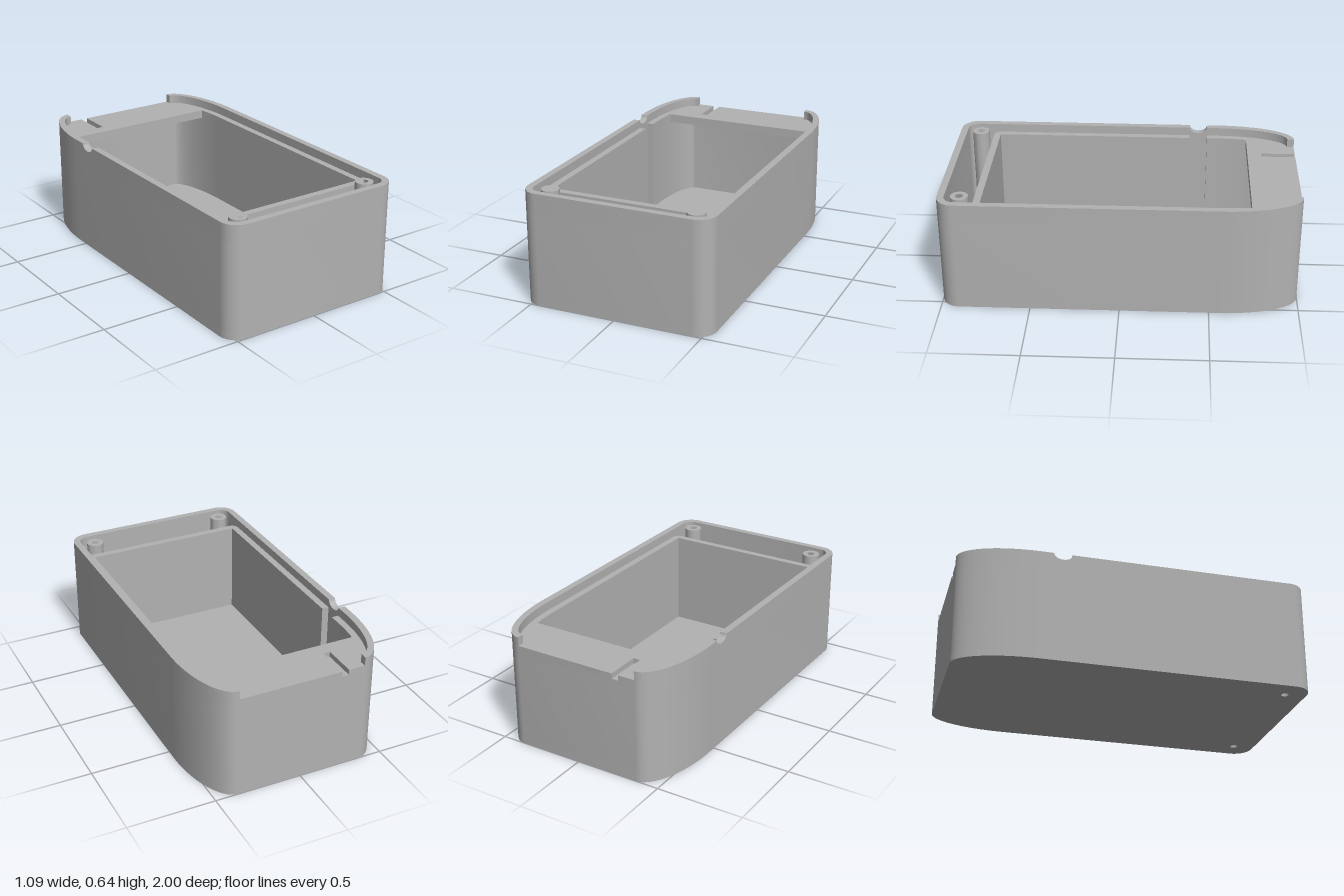
import * as THREE from 'three';
import { toCreasedNormals } from 'three/addons/utils/BufferGeometryUtils.js';

// Heights of the stacked layers
const FLOOR = 0.04, SHELF = 0.545, GROOVE = 0.565, LEDGE = 0.595, TOP = 0.645;
const SHELF_Z = -0.72;             // front edge of the rear shelf
const GAP = [-0.485, -0.38];       // cable gap in the right wall
const SCREW_X = 0.42, SCREW_Z = 0.88;

// Points are [x, z]
const arc = (cx, cz, rx, rz, a0, a1, n) => Array.from({ length: n + 1 }, (_, i) => {
  const a = a0 + (a1 - a0) * i / n;
  return [cx + rx * Math.cos(a), cz + rz * Math.sin(a)];
});
const mirror = pts => pts.map(([x, z]) => [-x, z]).reverse();

// Rounded front corner and tapering rear curve, inset by d
const frontCorner = d => arc(0.445, 0.9, 0.1 - d, 0.1 - d, Math.PI / 2, 0, 10);
const rearCurve = d => arc(0.365, -0.55, 0.18 - d, 0.45 - d, 0, -Math.PI / 2, 20);
const half = d => [...frontCorner(d), ...rearCurve(d)];

function outline(groove) {
  const slot = groove ? [[-0.23, -1], [-0.23, -0.8], [-0.27, -0.8], [-0.27, -1]] : [];
  return [...half(0), ...slot, ...mirror(half(0))];
}

// Main compartment; the shelf covers its rear when covered is true
function cavity(covered) {
  let curve = rearCurve(0.08);
  if (covered) curve = [...curve.filter(p => p[1] > SHELF_Z), [0.454, SHELF_Z]];
  return [
    [0.465, 0.77], ...curve, ...mirror(curve),
    [-0.465, GAP[0]], [-0.505, GAP[0]], [-0.505, GAP[1]], [-0.465, GAP[1]], [-0.465, 0.77],
  ];
}

// Screw compartment between the divider and the front wall
function pocket() {
  const side = [...frontCorner(0.04), ...arc(0.465, 0.77, 0.04, 0.04, 0, Math.PI / 2, 6)];
  return [...side, ...mirror(side)];
}

const circle = (x, r) => arc(x, SCREW_Z, r, r, 0, Math.PI * 2, 28).slice(0, -1);

export function createModel() {
  const model = new THREE.Group();
  model.name = 'enclosure';
  const grey = new THREE.MeshStandardMaterial({ color: 0xb2b2b2 });
  grey.name = 'grey plastic';

  const add = (name, geometry) => {
    const mesh = new THREE.Mesh(toCreasedNormals(geometry, 0.5), grey);
    mesh.name = name;
    model.add(mesh);
  };
  const vectors = pts => pts.map(([x, z]) => new THREE.Vector2(x, -z));
  // Upright slab from a plan outline with holes
  const slab = (name, pts, holes, y0, y1) => {
    const shape = new THREE.Shape(vectors(pts));
    shape.holes = holes.map(h => new THREE.Path(vectors(h)));
    const g = new THREE.ExtrudeGeometry(shape, { depth: y1 - y0, bevelEnabled: false });
    add(name, g.rotateX(-Math.PI / 2).translate(0, y0, 0));
  };

  const screwHoles = [circle(-SCREW_X, 0.022), circle(SCREW_X, 0.022)];
  slab('floor', outline(false), screwHoles, 0, FLOOR);
  slab('walls', outline(false), [cavity(false), pocket()], FLOOR, SHELF);
  slab('shelf', outline(false), [cavity(true), pocket()], SHELF, GROOVE);
  slab('groovedShelf', outline(true), [cavity(true), pocket()], GROOVE, LEDGE);

  // Raised rim, open at the back and broken by the cable notch
  const rimFront = d => [...half(d).reverse(), ...mirror(frontCorner(d)).reverse(), [-0.545 + d, GAP[1]]];
  const rimRear = d => [[-0.545 + d, GAP[0]], ...mirror(rearCurve(d)).reverse()];
  slab('rim', [...rimFront(0), ...rimFront(0.04).reverse()], [], LEDGE, TOP);
  slab('rearRim', [...rimRear(0), ...rimRear(0.04).reverse()], [], LEDGE, TOP);

  // Scooped rim section where the cable leaves
  const mid = -(GAP[0] + GAP[1]) / 2, r = (GAP[1] - GAP[0]) / 2;
  const scoop = new THREE.Shape([
    [mid - r, LEDGE], [mid + r, LEDGE],
    ...arc(mid, TOP, r, 0.035, 0, -Math.PI, 14),
  ].map(p => new THREE.Vector2(...p)));
  const notch = new THREE.ExtrudeGeometry(scoop, { depth: 0.04, bevelEnabled: false });
  add('cableNotch', notch.rotateY(Math.PI / 2).translate(-0.545, 0, 0));

  // Hollow screw posts
  [-1, 1].forEach((s, i) => slab(s < 0 ? 'rightScrewPost' : 'leftScrewPost',
    circle(s * SCREW_X, 0.05), [screwHoles[i]], FLOOR, 0.638));

  return model;
}
